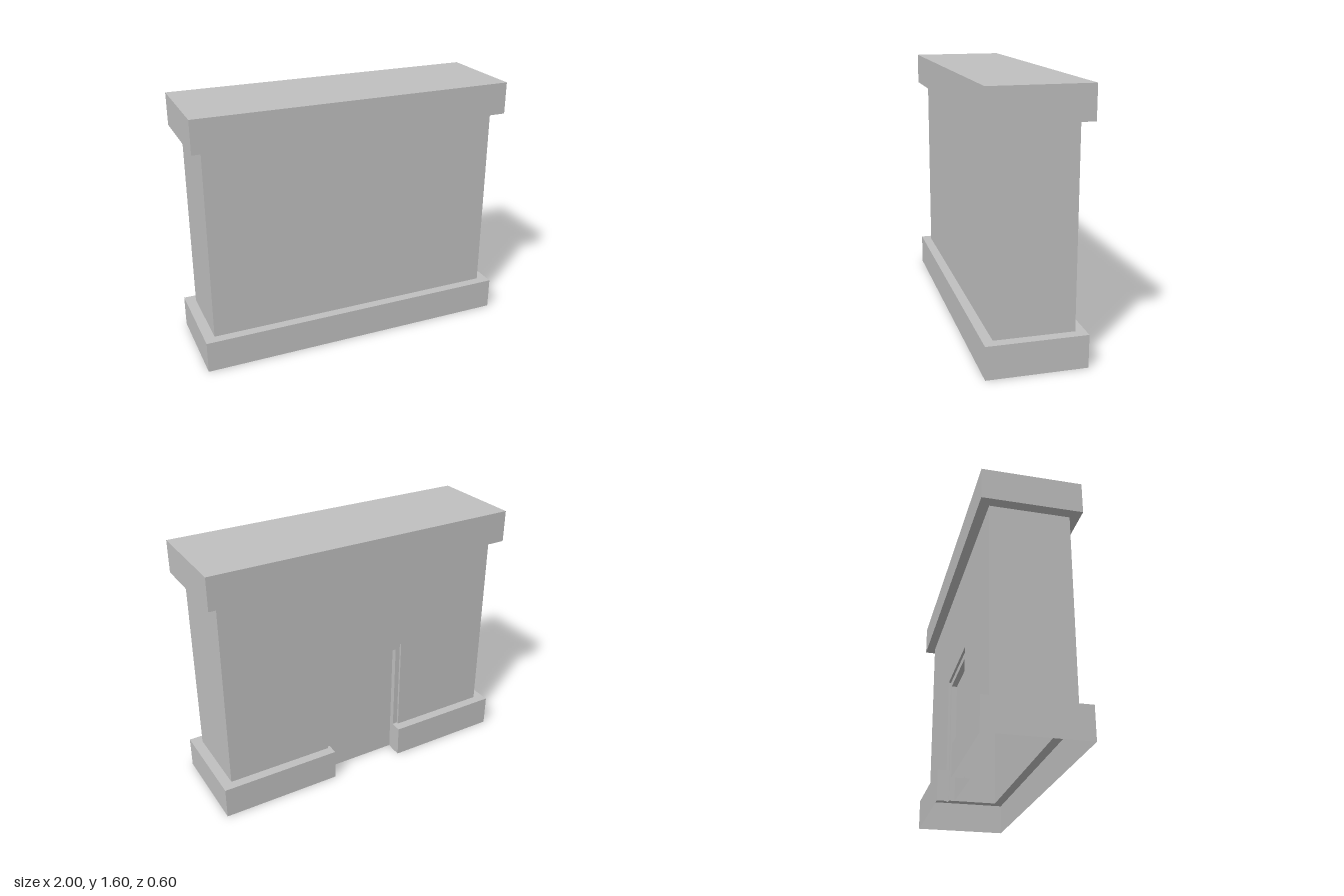
import * as THREE from 'three';

const stone = new THREE.MeshStandardMaterial({ color: 0xbfbfbf, side: THREE.DoubleSide });
stone.name = 'light grey';

// Overall sizes: half extents of slabs and wall, and the heights
const X = 1, Z = 0.3, WX = 0.935, WZ = 0.24;
const BASE = 0.2, WALL_TOP = 1.4, TOP = 1.6;

// Doorway: outer and inner recess edges, gap in the base, depths
const OUT = { l: 0.258, r: -0.285, h: 0.82 };
const INN = { l: 0.226, r: -0.254, h: 0.78 };
const GAP = { l: 0.24, r: -0.25 };
const STEP_Z = -0.225, DOOR_Z = -0.19;

const rect = (u0, v0, u1, v1) => [[u0, v0], [u1, v0], [u1, v1], [u0, v1]];

// Flat axis-aligned face: points are (x,y), (z,y) or (x,z) depending on the facing axis
function face(group, name, points, facing, at) {
  const shape = new THREE.Shape(points.map(([u, v]) => new THREE.Vector2(u, v)));
  const geo = new THREE.ShapeGeometry(shape);
  const pos = geo.attributes.position;
  for (let i = 0; i < pos.count; i++) {
    const u = pos.getX(i), v = pos.getY(i);
    if (facing[1] === 'z') pos.setXYZ(i, u, v, at);
    else if (facing[1] === 'x') pos.setXYZ(i, at, v, u);
    else pos.setXYZ(i, u, at, v);
  }
  // Turn the corners round where the mapped face would point the wrong way
  if (['-z', '+x', '+y'].includes(facing)) geo.index.array.reverse();
  geo.computeVertexNormals();
  const mesh = new THREE.Mesh(geo, stone);
  mesh.name = name;
  group.add(mesh);
}

function part(parent, name) {
  const g = new THREE.Group();
  g.name = name;
  parent.add(g);
  return g;
}

// Two sides and the head of a recess, between two depths
function reveal(group, name, o, z0, z1) {
  face(group, name + 'Left', rect(z0, 0, z1, o.h), '-x', o.l);
  face(group, name + 'Right', rect(z0, 0, z1, o.h), '+x', o.r);
  face(group, name + 'Head', rect(o.r, z0, o.l, z1), '-y', o.h);
}

export function createModel() {
  const model = new THREE.Group();
  model.name = 'wallWithDoorway';

  // Top slab
  const cornice = new THREE.Mesh(new THREE.BoxGeometry(2 * X, TOP - WALL_TOP, 2 * Z), stone);
  cornice.position.y = (TOP + WALL_TOP) / 2;
  cornice.name = 'cornice';
  model.add(cornice);

  // Hollow wall, notched at the back for the doorway
  const wall = part(model, 'wall');
  face(wall, 'wallFront', rect(-WX, BASE, WX, WALL_TOP), '+z', WZ);
  face(wall, 'wallLeft', rect(-WZ, BASE, WZ, WALL_TOP), '+x', WX);
  face(wall, 'wallRight', rect(-WZ, BASE, WZ, WALL_TOP), '-x', -WX);
  face(wall, 'wallBack', [
    [-WX, BASE], [OUT.r, BASE], [OUT.r, OUT.h], [OUT.l, OUT.h],
    [OUT.l, BASE], [WX, BASE], [WX, WALL_TOP], [-WX, WALL_TOP],
  ], '-z', -WZ);

  // Base skirt, open underneath and broken at the doorway
  const base = part(model, 'base');
  face(base, 'baseFront', rect(-X, 0, X, BASE), '+z', Z);
  face(base, 'baseLeft', rect(-Z, 0, Z, BASE), '+x', X);
  face(base, 'baseRight', rect(-Z, 0, Z, BASE), '-x', -X);
  face(base, 'baseBackLeft', rect(GAP.l, 0, X, BASE), '-z', -Z);
  face(base, 'baseBackRight', rect(-X, 0, GAP.r, BASE), '-z', -Z);
  face(base, 'baseEndLeft', rect(-Z, 0, STEP_Z, BASE), '-x', GAP.l);
  face(base, 'baseEndRight', rect(-Z, 0, STEP_Z, BASE), '+x', GAP.r);
  face(base, 'baseLedge', [
    [GAP.l, -Z], [X, -Z], [X, Z], [-X, Z], [-X, -Z], [GAP.r, -Z],
    [GAP.r, STEP_Z], [OUT.r, STEP_Z], [OUT.r, -WZ],
    [-WX, -WZ], [-WX, WZ], [WX, WZ], [WX, -WZ],
    [OUT.l, -WZ], [OUT.l, STEP_Z], [GAP.l, STEP_Z],
  ], '+y', BASE);

  // Doorway: a shallow stepped frame around a deeper door panel
  const door = part(model, 'doorway');
  reveal(door, 'outerReveal', OUT, -WZ, STEP_Z);
  face(door, 'doorFrame', [
    [OUT.r, 0], [INN.r, 0], [INN.r, INN.h], [INN.l, INN.h],
    [INN.l, 0], [OUT.l, 0], [OUT.l, OUT.h], [OUT.r, OUT.h],
  ], '-z', STEP_Z);
  reveal(door, 'innerReveal', INN, STEP_Z, DOOR_Z);
  face(door, 'doorPanel', rect(INN.r, 0, INN.l, INN.h), '-z', DOOR_Z);

  return model;
}
